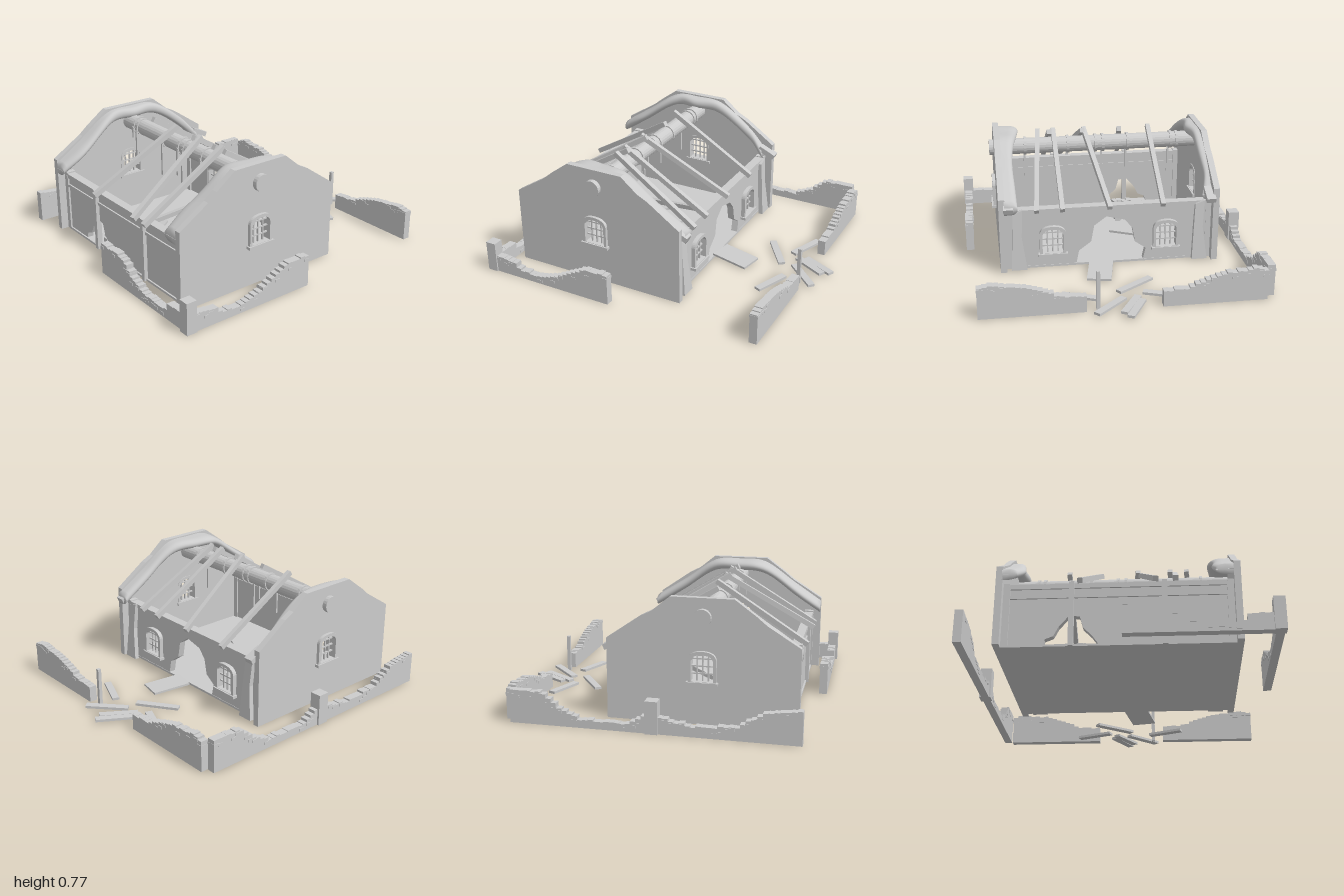
import * as THREE from 'three';

const mat = new THREE.MeshStandardMaterial({ color: 0xcccccc, flatShading: true });
const thatchMat = new THREE.MeshStandardMaterial({ color: 0xcccccc, side: THREE.DoubleSide });

let seed = 7;
const rand = () => (seed = (seed * 16807) % 2147483647) / 2147483647;

function add(parent, name, geo, x = 0, y = 0, z = 0, m = mat) {
  const mesh = new THREE.Mesh(geo, m);
  mesh.name = name;
  mesh.position.set(x, y, z);
  parent.add(mesh);
  return mesh;
}
const box = (parent, name, w, h, d, x, y, z) => add(parent, name, new THREE.BoxGeometry(w, h, d), x, y, z);

// Square timber between two points
function timber(parent, name, a, b, w, h) {
  const p = new THREE.Vector3(...a), q = new THREE.Vector3(...b);
  const mesh = add(parent, name, new THREE.BoxGeometry(w, h, p.distanceTo(q)));
  mesh.position.copy(p).add(q).multiplyScalar(0.5);
  mesh.lookAt(q);
  return mesh;
}

const toShape = pts => new THREE.Shape(pts.map(p => new THREE.Vector2(...p)));

// Slab centred on its thickness, drawn in x-y (or z-y when alongZ is set)
function slab(shape, depth, alongZ = false) {
  const g = new THREE.ExtrudeGeometry(shape, { depth, bevelEnabled: false, curveSegments: 8 });
  g.translate(0, 0, -depth / 2);
  return alongZ ? g.rotateY(-Math.PI / 2) : g;
}

// Segmental arch outline, centred on u with its sill at v
function archPath(Type, u, v, w, h) {
  const p = new Type();
  p.moveTo(u - w / 2, v);
  p.lineTo(u + w / 2, v);
  p.lineTo(u + w / 2, v + h * 0.76);
  p.quadraticCurveTo(u + w / 2 - 0.01, v + h, u, v + h);
  p.quadraticCurveTo(u - w / 2 + 0.01, v + h, u - w / 2, v + h * 0.76);
  p.closePath();
  return p;
}

// Arched window with frame, sill and glazing bars; local x along the wall, z outward
function makeWindow() {
  const g = new THREE.Group();
  g.name = 'window';
  const frame = archPath(THREE.Shape, 0, 0, 0.17, 0.2);
  frame.holes.push(archPath(THREE.Path, 0, 0.015, 0.135, 0.165));
  add(g, 'windowFrame', slab(frame, 0.065));
  box(g, 'windowSill', 0.19, 0.018, 0.085, 0, 0.004, 0);
  for (const x of [-0.034, 0, 0.034]) box(g, 'windowBar', 0.008, 0.17, 0.012, x, 0.095, 0);
  for (const y of [0.06, 0.105, 0.15]) box(g, 'windowBar', 0.14, 0.008, 0.012, 0, y, 0);
  return g;
}

function heightAt(profile, u) {
  for (let i = 1; i < profile.length; i++) {
    const [a, ha] = profile[i - 1], [b, hb] = profile[i];
    if (u <= b) return ha + (hb - ha) * Math.max(0, (u - a) / (b - a));
  }
  return profile[profile.length - 1][1];
}

// Ruined yard wall: stepped brick top with loose bricks along the broken edge
function ruinWall(parent, profile, at, alongZ) {
  const u0 = profile[0][0], u1 = profile[profile.length - 1][0];
  const n = Math.round((u1 - u0) / 0.032), step = (u1 - u0) / n;
  const pts = [[u1, 0], [u0, 0]];
  for (let i = 0; i < n; i++) {
    const u = u0 + i * step, h = heightAt(profile, u + step / 2) + (rand() - 0.5) * 0.012;
    pts.push([u, h], [u + step, h]);
    if (rand() < 0.4) {
      const l = 0.035, t = 0.056, y = Math.max(0.02, h - 0.012 - rand() * 0.03), c = u + step / 2;
      if (alongZ) box(parent, 'brick', t, 0.016, l, at, y, c);
      else box(parent, 'brick', l, 0.016, t, c, y, at);
    }
  }
  const wall = add(parent, 'yardWall', slab(toShape(pts.reverse()), 0.05, alongZ));
  wall.position[alongZ ? 'x' : 'z'] = at;
}

// Strip of remaining roof covering against a gable, swept over the roof line
function roofStrip(side, widths, zEnd) {
  const line = [[0.88, 0.445], [0.7, 0.565], [0.47, 0.715], [0.305, 0.725], [0.13, 0.715], [-0.1, 0.565], [zEnd, 0.44]];
  const curve = new THREE.CatmullRomCurve3(line.map(([z, y]) => new THREE.Vector3(0, y, z)));
  const inner = new THREE.CatmullRomCurve3(widths.map((w, i) => new THREE.Vector3(w, 0, i)));
  const N = 48, M = 12, pos = [], idx = [];
  for (let i = 0; i <= N; i++) {
    const t = Math.min(Math.max((i - 1) / (N - 2), 0), 1);
    const p = curve.getPoint(t), w = inner.getPoint(t).x;
    const r = i === 0 || i === N ? 0.001 : 0.036;
    for (let j = 0; j <= M; j++) {
      const a = (j / M - 0.5) * Math.PI;
      pos.push(side * (0.675 - w * Math.pow(Math.max(0, Math.cos(a)), 0.5)), p.y + r * Math.sin(a), p.z);
      if (i < N && j < M) {
        const k = i * (M + 1) + j;
        idx.push(k, k + 1, k + M + 1, k + 1, k + M + 2, k + M + 1);
      }
    }
  }
  const g = new THREE.BufferGeometry();
  g.setAttribute('position', new THREE.Float32BufferAttribute(pos, 3));
  g.setIndex(idx);
  g.computeVertexNormals();
  return g;
}

export function createModel() {
  const root = new THREE.Group();
  root.name = 'ruinedHouse';
  const house = new THREE.Group();
  house.name = 'house';
  root.add(house);

  box(house, 'floor', 1.36, 0.014, 1.06, 0, 0.007, 0.3);

  // Gables with arched windows, roof remains and corner piers
  for (const s of [-1, 1]) {
    const shape = toShape([[-0.28, 0], [0.88, 0], [0.88, 0.5], [0.68, 0.625], [0.62, 0.675], [0.49, 0.77],
      [0.11, 0.77], [0, 0.68], [-0.07, 0.645], [-0.28, 0.5]]);
    shape.holes.push(archPath(THREE.Path, 0.305, 0.255, 0.15, 0.19));
    add(house, 'gable', slab(shape, 0.04, true), s * 0.69);
    const win = makeWindow();
    win.position.set(s * 0.698, 0.255, 0.305);
    win.rotation.y = s * Math.PI / 2;
    house.add(win);
    for (const z of [0.8, -0.2]) box(house, 'cornerPier', 0.04, 0.41, 0.06, s * 0.655, 0.205, z);

    // Broken buttress slab leaning at the back corner
    const slabPiece = add(house, 'brokenButtress', slab(toShape([[-0.05, 0], [0.05, 0], [0.04, 0.2], [0.03, 0.38],
      [-0.03, 0.4], [-0.02, 0.22]]), 0.03), s * 0.59, 0.01, -0.265);
    slabPiece.rotation.x = 0.08;
    timber(house, 'brokenEave', [s * 0.65, 0.43, -0.31], [s * 0.65, 0.48, -0.2], 0.06, 0.035);
  }
  add(house, 'roofRemains', roofStrip(-1, [0.09, 0.115, 0.09, 0.055, 0.075, 0.055, 0.05, 0.04, 0.065], -0.22), 0, 0, 0, thatchMat);
  add(house, 'roofRemains', roofStrip(1, [0.11, 0.125, 0.11, 0.135, 0.12, 0.1, 0.075, 0.08, 0.085], -0.3), 0, 0, 0, thatchMat);

  // Front wall, broken open at the base
  add(house, 'frontWall', slab(toShape([[-0.67, 0], [-0.43, 0], [-0.42, 0.05], [-0.37, 0.07], [-0.34, 0.13], [-0.28, 0.2],
    [-0.22, 0.19], [-0.2, 0.12], [-0.15, 0.07], [-0.1, 0], [0.67, 0], [0.67, 0.39], [-0.67, 0.39]]), 0.04), 0, 0, 0.8);
  for (const [y, h] of [[0.387, 0.03], [0.32, 0.02]]) box(house, 'frontRail', 1.28, h, 0.055, 0, y, 0.802);
  for (const x of [-0.27, 0.27]) box(house, 'frontPost', 0.03, 0.41, 0.035, x, 0.205, 0.827);
  for (const x of [-0.64, 0.64]) box(house, 'frontPost', 0.02, 0.39, 0.02, x, 0.195, 0.822);

  // Back wall with two windows and a large breach
  const back = toShape([[-0.67, 0], [-0.22, 0], [-0.24, 0.09], [-0.17, 0.14], [-0.15, 0.24], [-0.1, 0.3], [0.02, 0.33],
    [0.1, 0.27], [0.12, 0.16], [0.2, 0.1], [0.22, 0], [0.67, 0], [0.67, 0.4], [-0.67, 0.4]]);
  for (const x of [-0.37, 0.37]) {
    back.holes.push(archPath(THREE.Path, x, 0.09, 0.15, 0.19));
    const win = makeWindow();
    win.position.set(x, 0.09, -0.222);
    win.rotation.y = Math.PI;
    house.add(win);
  }
  add(house, 'backWall', slab(back, 0.045), 0, 0, -0.205);
  box(house, 'backRail', 1.3, 0.025, 0.06, 0, 0.392, -0.2);

  // Ridge beam with binding rings and hanging strips
  const beam = add(house, 'ridgeBeam', new THREE.CylinderGeometry(0.053, 0.053, 1.48, 20), 0, 0.655, 0.305);
  beam.rotation.z = Math.PI / 2;
  for (const [x, y] of [[-0.54, 0.58], [-0.5, 0.4], [-0.2, 0.42], [-0.03, 0.47], [0.02, 0.4], [0.21, 0.56], [0.5, 0.4]]) {
    const ring = add(house, 'bindingRing', new THREE.CylinderGeometry(0.061, 0.061, 0.018, 16), x, 0.655, 0.305);
    ring.rotation.z = Math.PI / 2;
    box(house, 'hangingStrip', 0.014, 0.66 - y, 0.012, x, (0.66 + y) / 2, 0.362);
  }

  // Surviving rafters: [x at ridge, x at eave]
  for (const [a, b] of [[-0.14, -0.22], [0.11, 0.22], [0.335, 0.335]])
    timber(house, 'frontRafter', [a, 0.755, 0.28], [b, 0.4, 0.87], 0.032, 0.032);
  for (const [a, b] of [[-0.345, -0.345], [0.1, 0], [0.305, 0.305], [0.41, 0.47]])
    timber(house, 'backRafter', [a, 0.755, 0.33], [b, 0.4, -0.26], 0.03, 0.032);

  // Fallen timbers and rubble inside
  timber(house, 'fallenRafter', [-0.31, 0.03, 0.63], [-0.09, 0.2, 0.02], 0.03, 0.03);
  timber(house, 'fallenPlank', [-0.31, 0.03, 0.1], [-0.07, 0.03, 0.22], 0.035, 0.015);
  timber(house, 'fallenPlank', [0.05, 0.03, 0.3], [0.31, 0.03, 0.43], 0.03, 0.015);
  timber(house, 'fallenPanel', [-0.35, 0.03, 0.47], [-0.2, 0.05, 0.36], 0.13, 0.015);
  timber(house, 'fallenPlank', [-0.33, 0.06, 0.52], [-0.14, 0.03, 0.42], 0.04, 0.015);
  for (let i = 0; i < 6; i++) {
    const stone = box(house, 'rubble', 0.05, 0.03, 0.035, -0.36 + 0.035 * i, 0.03, 0.7 + rand() * 0.06);
    stone.rotation.y = rand() * 3;
  }

  // Broken yard walls and their posts
  const yard = new THREE.Group();
  yard.name = 'yard';
  root.add(yard);
  ruinWall(yard, [[0.03, 0.2], [0.2, 0.2], [0.3, 0.17], [0.36, 0.11], [0.47, 0.06], [0.7, 0.05], [0.73, 0.1], [0.88, 0.11]], 0.96, false);
  ruinWall(yard, [[0.1, 0.2], [0.26, 0.205], [0.32, 0.17], [0.4, 0.12], [0.52, 0.07], [0.63, 0.05], [0.75, 0.06], [0.8, 0.1], [0.94, 0.11]], 0.9, true);
  ruinWall(yard, [[-0.82, 0.2], [-0.62, 0.2], [-0.5, 0.1], [-0.38, 0.05], [-0.1, 0.05], [0, 0.1], [0.1, 0.1], [0.3, 0.06],
    [0.55, 0.08], [0.7, 0.17], [0.92, 0.205]], -0.9, true);
  const rear = [[0.23, 0.1], [0.38, 0.11], [0.48, 0.15], [0.62, 0.19], [0.78, 0.21], [0.87, 0.19]];
  ruinWall(yard, rear, -0.84, false);
  ruinWall(yard, rear.map(([x, h]) => [-x, h]).reverse(), -0.84, false);
  box(yard, 'yardPost', 0.068, 0.2, 0.068, 0.9, 0.1, 0.965);
  box(yard, 'yardPost', 0.072, 0.2, 0.075, -0.902, 0.1, 0.05);

  // Scattered planks, a fallen panel and an upright stake behind the house
  const planks = [[-0.12, -0.78, -0.01, -0.99], [-0.1, -0.73, 0.02, -0.94], [-0.01, -0.74, 0.18, -0.93],
    [-0.37, -0.77, -0.14, -0.68], [0.14, -0.73, 0.36, -0.64], [-0.22, -0.5, 0.01, -0.66]];
  planks.forEach(([x0, z0, x1, z1], i) =>
    timber(yard, 'plank', [x0, 0.01, z0], [x1, i < 3 ? 0.018 : 0.01, z1], 0.045, 0.016));
  timber(yard, 'fallenDoor', [0.055, 0.02, -0.235], [0.105, 0.01, -0.485], 0.155, 0.014);
  box(yard, 'stake', 0.022, 0.25, 0.022, 0.16, 0.125, -0.835);

  return root;
}
